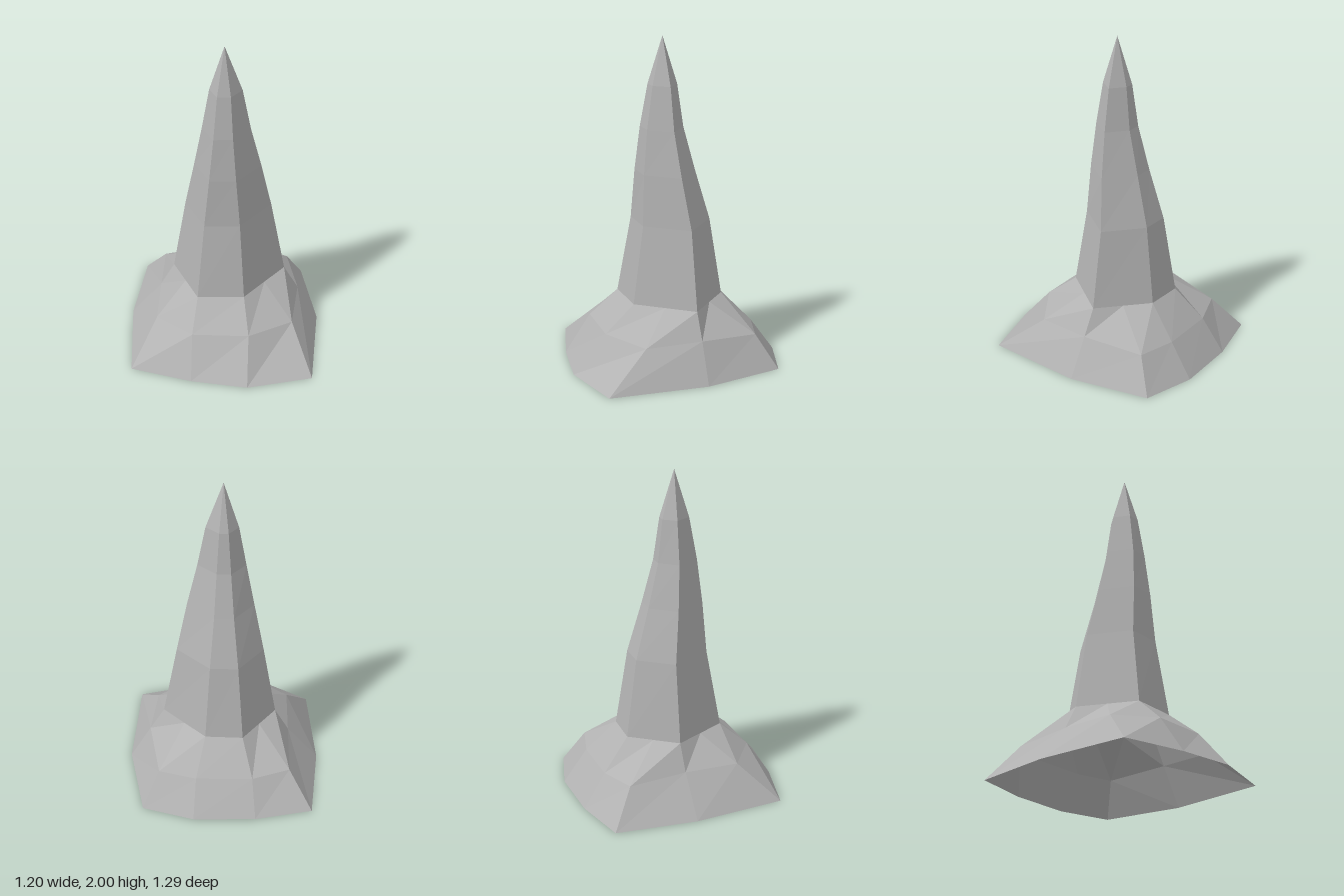
import * as THREE from 'three';

// Join matching rings of [x, y, z] points into a faceted, open shell
function loft(rings) {
  const pos = [];
  for (let r = 0; r < rings.length - 1; r++) {
    const low = rings[r], up = rings[r + 1], n = low.length;
    for (let i = 0; i < n; i++) {
      const j = (i + 1) % n;
      pos.push(...low[j], ...low[i], ...up[i]);
      // the last ring may shrink to a point
      if (up[i].some((v, k) => v !== up[j][k])) pos.push(...low[j], ...up[i], ...up[j]);
    }
  }
  const geo = new THREE.BufferGeometry();
  geo.setAttribute('position', new THREE.Float32BufferAttribute(pos, 3));
  geo.computeVertexNormals();
  return geo;
}

const midpoint = (a, b) => a.map((v, k) => (v + b[k]) / 2);

export function createModel() {
  const stone = new THREE.MeshStandardMaterial({
    name: 'greyStone', color: 0xb2b2b2, flatShading: true, side: THREE.DoubleSide,
  });
  const group = new THREE.Group();
  group.name = 'stalagmite';
  const add = (name, rings) => {
    const mesh = new THREE.Mesh(loft(rings), stone);
    mesh.name = name;
    group.add(mesh);
  };

  // Six-sided spire: height, side x (left, right) and z, front and back x pairs and z
  const levels = [
    { y: 0.39, side: [-0.325, 0.375, -0.07], front: [-0.155, 0.13, 0.265, 0.25], back: [-0.12, 0.11, -0.335, -0.325] },
    { y: 0.87, side: [-0.245, 0.285, -0.065], front: [-0.115, 0.1, 0.187, 0.178], back: [-0.09, 0.08, -0.26, -0.255] },
    { y: 1.18, side: [-0.185, 0.22, -0.025], front: [-0.085, 0.075, 0.17, 0.162], back: [-0.063, 0.055, -0.17, -0.168] },
    { y: 1.45, side: [-0.135, 0.155, 0], front: [-0.06, 0.055, 0.143, 0.135], back: [-0.045, 0.04, -0.1, -0.098] },
    { y: 1.71, side: [-0.09, 0.105, 0.005], front: [-0.04, 0.04, 0.1, 0.095], back: [-0.03, 0.025, -0.066, -0.064] },
  ];
  const spire = levels.map(({ y, side: s, front: f, back: b }) => [
    [b[0], y, b[2]], [b[1], y, b[3]], [s[1], y, s[2]],
    [f[1], y, f[3]], [f[0], y, f[2]], [s[0], y, s[2]],
  ]);
  add('spire', [...spire, Array(6).fill([0, 2, 0.02])]);

  // Flared ten-sided foot, starting at its back left corner
  const ground = [
    [-0.55, 0, -0.57], [-0.2, 0, -0.645], [0.18, 0, -0.65], [0.495, 0, -0.555], [0.595, 0, -0.065],
    [0.56, 0, 0.54], [0.165, 0, 0.645], [-0.18, 0, 0.6], [-0.555, 0, 0.5], [-0.6, 0, -0.07],
  ];
  const shoulder = [
    [-0.41, 0.21, -0.425], [-0.18, 0.205, -0.505], [0.165, 0.205, -0.505], [0.395, 0.205, -0.44], [0.465, 0.235, -0.07],
    [0.43, 0.22, 0.27], [0.165, 0.235, 0.44], [-0.18, 0.235, 0.44], [-0.41, 0.23, 0.27], [-0.41, 0.235, -0.07],
  ];
  // Neck follows the lowest spire ring, with extra points under the four corners
  const [bl, br, r, fr, fl, l] = spire[0];
  const neck = [midpoint(l, bl), bl, br, midpoint(br, r), r, midpoint(r, fr), fr, fl, midpoint(fl, l), l];
  add('foot', [ground, shoulder]);
  add('shoulder', [shoulder, neck]);

  return group;
}
